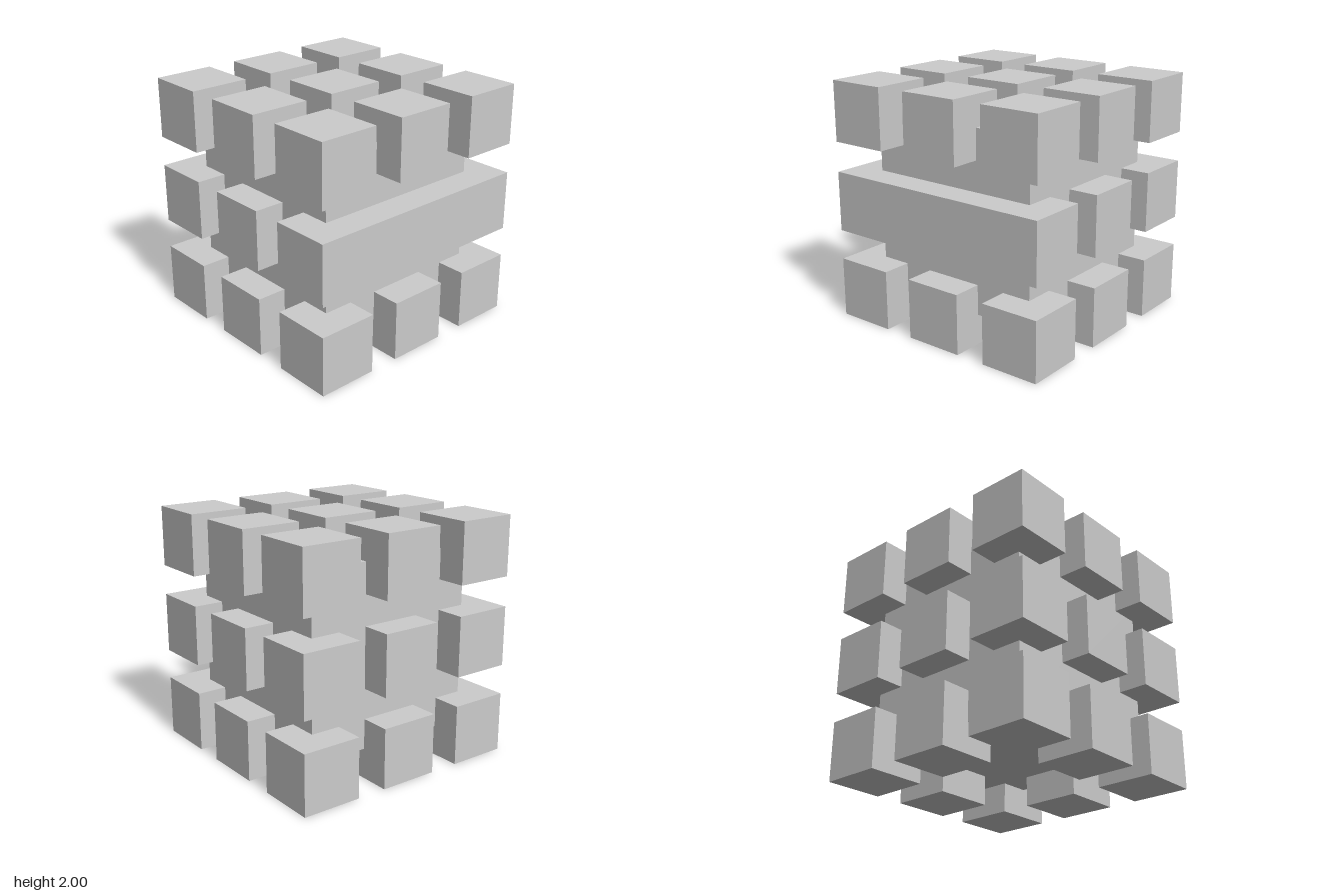
import * as THREE from 'three';

export function createModel() {
  const model = new THREE.Group();
  model.name = 'studdedCube';
  const material = new THREE.MeshStandardMaterial({ color: 0xcccccc, flatShading: true });

  function addBox(name, size, position) {
    const mesh = new THREE.Mesh(new THREE.BoxGeometry(...size), material);
    mesh.name = name;
    mesh.position.set(...position);
    model.add(mesh);
  }

  // Solid core
  addBox('core', [1.5, 1.5, 1.5], [0, 1, 0]);

  // Bar across the middle of the front
  addBox('frontBar', [2, 0.5, 0.5], [0, 1, 0.75]);

  // Small cubes on a 3 x 3 x 3 lattice
  const steps = [-1, 0, 1];
  for (const i of steps) for (const j of steps) for (const k of steps) {
    const inBar = j === 0 && k === 1;
    const inCore = i === 0 && j === 0 && k === 0;
    const bottomCentre = i === 0 && j === -1 && k === 0; // left open
    if (inBar || inCore || bottomCentre) continue;
    addBox('smallCube', [0.5, 0.5, 0.5], [i * 0.75, 1 + j * 0.75, k * 0.75]);
  }

  return model;
}
